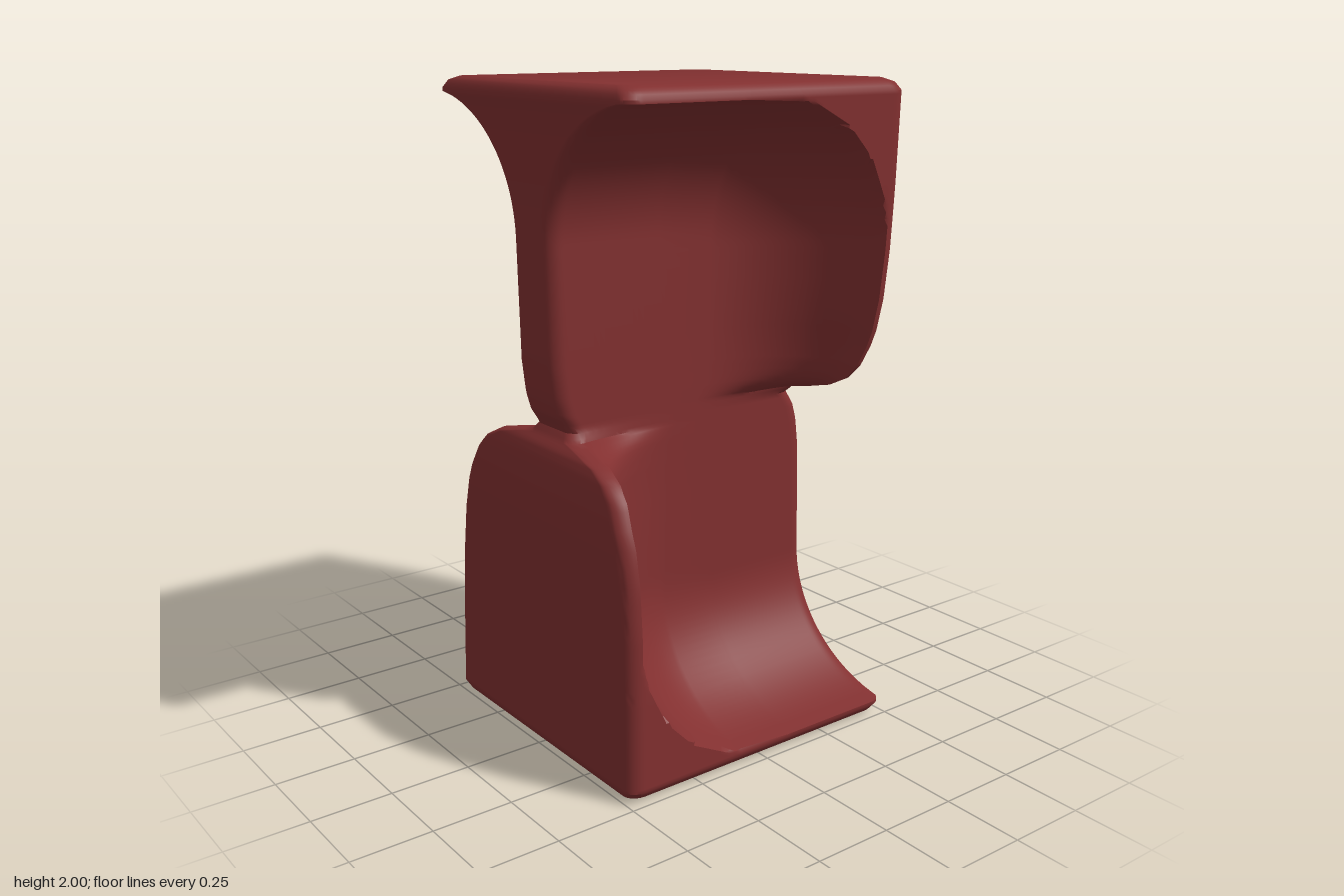
import * as THREE from 'three';
import { toCreasedNormals } from 'three/addons/utils/BufferGeometryUtils.js';

const WEB = 0.098;    // half thickness of the central web
const PLATE = 0.045;  // thickness of seat, foot and panels at the rim
const CORNER = 0.45;  // radius of the rim where a panel turns into the seat or foot
const FILLET = 0.4;   // reach of the blend from rim to web

// Half width of a panel by height, and half depth by height (lower half)
const WIDTH = [[0, 0.44], [0.012, 0.472], [0.035, 0.488], [0.3, 0.483], [0.5, 0.475], [0.65, 0.46],
  [0.75, 0.438], [0.82, 0.41], [0.87, 0.383], [0.91, 0.345], [0.94, 0.285], [0.96, 0.2], [0.975, 0.12], [1, 0.103]];
const DEPTH = [[0, 0.465], [0.012, 0.487], [0.035, 0.499], [0.4, 0.493], [0.8, 0.484], [0.9, 0.472],
  [0.95, 0.457], [0.98, 0.438], [1, 0.425]];

function interpolate(points, t) {
  let i = 1;
  while (i < points.length - 1 && t > points[i][0]) i++;
  const [x0, y0] = points[i - 1], [x1, y1] = points[i];
  return y0 + (y1 - y0) * (t - x0) / (x1 - x0);
}

// Concave quarter round from 0 to 1
const quarter = u => 1 - Math.sqrt(1 - (0.985 * u) ** 2);

// Half thickness of the lower half; the upper half is the same turned about the x axis
function halfThickness(y, z, depth) {
  if (y > 1) return halfThickness(2 - y, -z, depth);
  const a = Math.max(CORNER - (y - PLATE), 0);
  const b = Math.max(CORNER - (depth - z - PLATE), 0);
  const fromRim = CORNER - Math.hypot(a, b);
  const u = THREE.MathUtils.clamp(1 - fromRim / FILLET, 0, 1);
  const x = WEB + (interpolate(WIDTH, y) - WEB) * quarter(u) / quarter(1);
  // rounded vertical edges
  const edge = Math.max(1 - (depth - Math.abs(z)) / 0.05, 0);
  return x - 0.04 * (1 - Math.sqrt(1 - edge * edge));
}

// Values from start to end (inclusive) in equal steps
const steps = (start, end, count) => Array.from({ length: count + 1 }, (_, i) => start + (end - start) * i / count);

function bodyGeometry() {
  const half = [0, 0.005, 0.012, 0.022, 0.035, ...steps(0.045, 0.145, 10), ...steps(0.165, 0.505, 17),
    ...steps(0.55, 0.85, 6), 0.87, 0.89, 0.91, 0.925, 0.94, 0.95, 0.96, 0.968, 0.975, 0.985, 1];
  const heights = [...half, ...half.slice(0, -1).reverse().map(y => 2 - y)];
  const insets = [0, 0.002, 0.006, 0.014, 0.025, 0.035, ...steps(0.045, 0.145, 10), ...steps(0.165, 0.405, 12)];
  const n = insets.length * 2, loop = n * 2;
  const position = [], index = [];

  // Horizontal cross-sections: back to front on one side, then front to back on the other
  for (const y of heights) {
    const depth = interpolate(DEPTH, y > 1 ? 2 - y : y);
    const zs = [...insets.map(d => d - depth), ...[...insets].reverse().map(d => depth - d)];
    for (const z of zs) position.push(halfThickness(y, z, depth), y, z);
    for (const z of zs.reverse()) position.push(-halfThickness(y, z, depth), y, z);
  }
  // Skin, with the diagonals mirrored so that they follow the rim on both sides
  for (let i = 0; i < heights.length - 1; i++) {
    for (let j = 0; j < loop; j++) {
      const a = i * loop + j, b = i * loop + (j + 1) % loop, c = b + loop, d = a + loop;
      if (j < n) index.push(a, d, c, a, c, b);
      else index.push(a, d, b, b, d, c);
    }
  }
  // Flat foot and seat
  const top = (heights.length - 1) * loop;
  for (let k = 0; k < n - 1; k++) {
    const r0 = k, r1 = k + 1, l0 = loop - 1 - k, l1 = loop - 2 - k;
    index.push(r1, l1, l0, r0, r1, l0);
    index.push(top + l0, top + l1, top + r1, top + l0, top + r1, top + r0);
  }
  const geometry = new THREE.BufferGeometry();
  geometry.setAttribute('position', new THREE.Float32BufferAttribute(position, 3));
  geometry.setIndex(index);
  return toCreasedNormals(geometry, 0.7);
}

export function createModel() {
  const group = new THREE.Group();
  group.name = 'stool';
  const body = new THREE.Mesh(bodyGeometry(), new THREE.MeshStandardMaterial({ color: 0x823030 }));
  body.name = 'stoolBody';
  group.add(body);
  return group;
}
